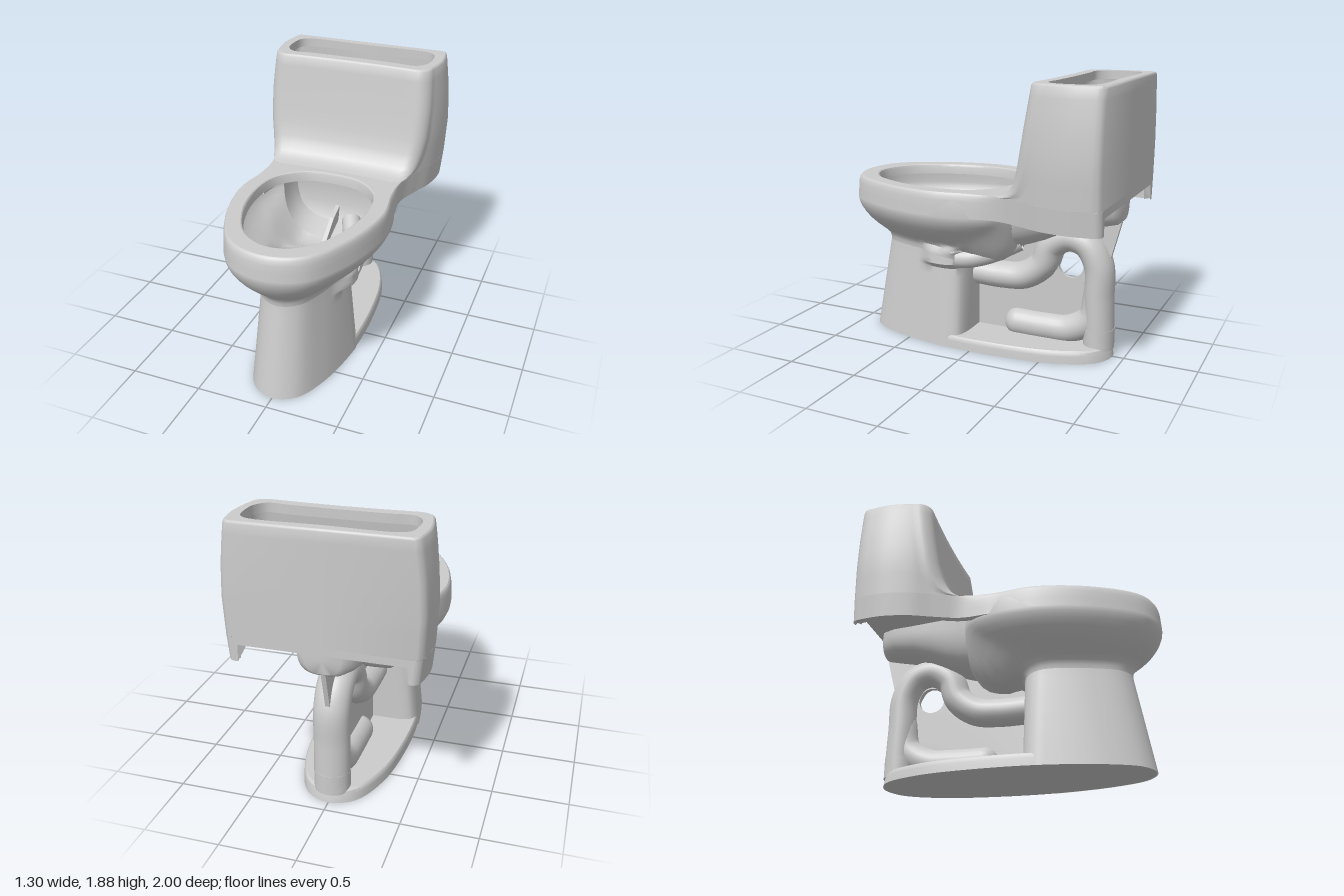
import * as THREE from 'three';
import { toCreasedNormals } from 'three/addons/utils/BufferGeometryUtils.js';

const mat = new THREE.MeshStandardMaterial({ color: 0xcccccc, side: THREE.DoubleSide });
const { lerp, smoothstep } = THREE.MathUtils;
const V = (x, y, z) => new THREE.Vector3(x, y, z);

// Piecewise linear lookup in rows of [key, value], keys ascending
function table(rows, k) {
  if (k <= rows[0][0]) return rows[0][1];
  for (let i = 1; i < rows.length; i++) {
    const [a, va] = rows[i - 1], [b, vb] = rows[i];
    if (k <= b) return lerp(va, vb, (k - a) / (b - a));
  }
  return rows[rows.length - 1][1];
}

// Half outline (front to back, as [x, z]) mirrored to a full loop
const mirror = half => [...half, ...half.slice(1, -1).reverse().map(([x, z]) => [-x, z])];

// Smooth closed loop through a mirrored half outline
function ring(half, steps = 10) {
  const pts = mirror(half);
  const curve = new THREE.CatmullRomCurve3(pts.map(([x, z]) => V(x, 0, z)), true);
  const n = pts.length * steps;
  return Array.from({ length: n }, (_, i) => { const p = curve.getPoint(i / n); return [p.x, p.z]; });
}
const at = (pts, y) => pts.map(([x, z]) => V(x, y, z));
const mix = (a, b, t) => a.map(([x, z], i) => [lerp(x, b[i][0], t), lerp(z, b[i][1], t)]);
const scaled = (pts, k, cz) => pts.map(([x, z]) => [x * k, cz + (z - cz) * k]);

// Skin over a stack of equal-length point rows
function loft(rows, closed = true, crease = 0.75) {
  const n = rows[0].length, idx = [];
  for (let r = 0; r < rows.length - 1; r++) {
    for (let i = 0; i < (closed ? n : n - 1); i++) {
      const a = r * n + i, b = r * n + (i + 1) % n;
      idx.push(a, b, b + n, a, b + n, a + n);
    }
  }
  const g = new THREE.BufferGeometry().setFromPoints(rows.flat());
  g.setIndex(idx);
  return toCreasedNormals(g, crease);
}

// Flat horizontal plate with optional hole
function plate(pts, y, hole) {
  const to2 = p => p.map(([x, z]) => new THREE.Vector2(x, -z));
  const s = new THREE.Shape(to2(pts));
  if (hole) s.holes.push(new THREE.Path(to2(hole)));
  return new THREE.ShapeGeometry(s).rotateX(-Math.PI / 2).translate(0, y, 0);
}
const tube = (pts, r) => new THREE.TubeGeometry(
  new THREE.CatmullRomCurve3(pts.map(p => V(...p))), 60, r, 24);

// Plan outline shared by the rim and the tank skirt
const outline = ring([[0, 1], [0.25, 0.92], [0.44, 0.62], [0.535, 0.22], [0.5, -0.08], [0.5, -0.27],
  [0.56, -0.45], [0.62, -0.6], [0.65, -0.78], [0.635, -0.92], [0.62, -0.975], [0.59, -0.997],
  [0.56, -0.997], [0.54, -0.997], [0.3, -0.997], [0, -0.997]]);
const sideTable = outline.slice(0, 115).filter(p => p[1] > -0.98).map(([x, z]) => [z, x]).reverse();

// The rear swells with height, the front rim rounds over at the top
function shape([x, z], y) {
  const rear = table([[0.99, 0.955], [1.15, 0.98], [1.4, 1], [1.6, 0.985], [1.75, 0.96], [1.88, 0.93]], y);
  const front = table([[0.99, 1], [1.1, 0.99], [1.13, 0.98], [1.145, 0.967], [1.15, 0.955]], y);
  const b = smoothstep(z, -0.35, -0.05);
  return [x * lerp(rear, front, b), 0.2 + (z - 0.2) * lerp(1, front, b)];
}
const slab = y => outline.map(p => shape(p, y));

// Tank section: flat back, curved sides, rounded front corners
function tankRing(y, zf, inset = 0) {
  const r = 0.1, half = [], zs = zf - r;
  const w = z => shape([table(sideTable, z), z], y)[0] - inset;
  const cx = w(zs) - r;
  for (let i = 0; i < 6; i++) half.push([cx * i / 6, zf - inset - 0.015 * (1 - (i / 6) ** 2)]);
  for (let i = 0; i <= 8; i++) {
    const a = Math.PI / 2 * (1 - i / 8);
    half.push([cx + r * Math.cos(a), zs + (r - inset) * Math.sin(a)]);
  }
  for (let i = 1; i <= 14; i++) { const z = lerp(zs, -0.975, i / 14); half.push([w(z), z]); }
  half.push([w(-0.975) - 0.028, -0.997 + inset], [0, -0.997 + inset]);
  return mirror(half);
}

// Jet passage swelling on the left wall, just under the bowl
function swell(v) {
  const k = smoothstep(v.y, 0.555, 0.6) * (1 - smoothstep(v.y, 0.68, 0.74))
    * smoothstep(v.z, 0.07, 0.13) * (1 - smoothstep(v.z, 0.28, 0.44));
  if (v.x > 0) v.x += 0.062 * k * smoothstep(v.x, 0.1, 0.25);
  return v;
}

export function createModel() {
  const model = new THREE.Group();
  const add = (name, geo, parent = model) => {
    const m = new THREE.Mesh(geo, mat);
    m.name = name;
    parent.add(m);
    return m;
  };

  // Rim and skirt; the back edge is notched upward between the corners
  const notch = v => { if (v.z < -0.9 && Math.abs(v.x) < 0.53) v.y = Math.max(v.y, 1.1); return v; };
  add('rimSide', loft([0.99, 1.05, 1.1, 1.13, 1.145, 1.15].map(y => at(slab(y), y).map(notch))));
  const inset = slab(0.99).map(([x, z]) => [x - Math.sign(x) * Math.min(0.05, Math.abs(x)), Math.max(z, -0.95)]);
  const rearOnly = pts => pts.filter((_, i) => outline[i][1] < 0);
  add('skirtInside', loft([rearOnly(at(inset, 1.1)), rearOnly(at(inset, 0.99)).map(notch),
    rearOnly(at(slab(0.99), 0.99)).map(notch)], false));

  // Seat deck with oval opening and inner lip
  const opening = ring([[0, 0.85], [0.2, 0.765], [0.34, 0.53], [0.4, 0.22], [0.36, -0.02], [0.2, -0.17], [0, -0.2]]);
  const lip = (k, y) => at(scaled(opening, k, 0.3), y);
  add('seatDeck', plate(slab(1.15).filter(p => p[1] > -0.5), 1.15, scaled(opening, 1.03, 0.3)));
  add('rimLip', loft([lip(1.03, 1.15), lip(1.01, 1.145), lip(1, 1.13), lip(0.99, 1.08)]));

  // Tank, flaring into the deck at its foot
  const tankFront = [[1.15, -0.24], [1.157, -0.28], [1.17, -0.315], [1.2, -0.355], [1.25, -0.387], [1.3, -0.408],
    [1.4, -0.432], [1.5, -0.45], [1.6, -0.467], [1.7, -0.483], [1.8, -0.498], [1.865, -0.508]];
  const top = tankRing(1.88, -0.51, 0.012);
  add('tank', loft([...tankFront.map(([y, z]) => at(tankRing(y, z), y)),
    at(tankRing(1.875, -0.51, 0.004), 1.875), at(top, 1.88)]));
  const mouth = ring([[0, -0.61], [0.3, -0.605], [0.46, -0.6], [0.52, -0.67], [0.53, -0.78], [0.51, -0.88],
    [0.45, -0.92], [0, -0.92]], 6);
  add('tankTop', plate(top, 1.88, mouth));
  add('tankMouth', loft([at(mouth, 1.88), at(mouth, 1.82)]));
  const slot = ring([[0, -0.6], [0.16, -0.6], [0.18, -0.62], [0.18, -0.82], [0.14, -0.91], [0, -0.93]], 5);
  add('tankFloor', plate(inset.filter(p => p[1] < -0.22), 1.1, slot));

  // Bowl shell narrowing to the neck; its rear hangs lower along the middle
  const bowlTop = ring([[0, 1], [0.25, 0.92], [0.44, 0.62], [0.535, 0.22], [0.5, -0.08], [0.38, -0.27], [0, -0.33]]);
  const neck = ring([[0, 0.785], [0.13, 0.72], [0.22, 0.52], [0.272, 0.28], [0.272, 0.18], [0.235, 0.11], [0, 0.07]]);
  const column = ring([[0, 0.905], [0.15, 0.84], [0.26, 0.62], [0.33, 0.28], [0.335, 0.17], [0.295, 0.1], [0, 0.08]]);
  const bowlRows = [[0.66, 0, 0.1], [0.69, 0.015, 0.11], [0.72, 0.07, 0.12], [0.75, 0.21, 0.14], [0.77, 0.32, 0.16],
    [0.8, 0.48, 0.18], [0.84, 0.66, 0.2], [0.88, 0.8, 0.2], [0.92, 0.91, 0.18], [0.96, 0.98, 0.1], [0.99, 1, 0]];
  const sag = v => (1 - smoothstep(v.z, -0.1, 0.3)) * (1 - smoothstep(Math.abs(v.x), 0.2, 0.42));
  const bowl = bowlRows.map(([y, t, drop]) => at(mix(neck, bowlTop, t), y)
    .map(v => swell(V(v.x, v.y - drop * sag(v), v.z))));
  bowl.push(at(scaled(bowlTop, 0.97, 0.2), 1.1));
  add('bowl', loft(bowl));

  // Pedestal column and oval foot
  add('pedestal', loft([0, 0.2, 0.35, 0.5, 0.555, 0.57, 0.585, 0.6, 0.635, 0.67]
    .map(y => at(mix(column, neck, Math.min(1, y / 0.66)), y).map(swell))));
  const foot = ring([[0, 0.9], [0.15, 0.83], [0.255, 0.61], [0.33, 0.22], [0.335, -0.2], [0.28, -0.6],
    [0.16, -0.85], [0, -0.92]]);
  add('foot', loft([[1, 0], [0.99, 0.05], [0.98, 0.075], [0.955, 0.085]].map(([k, y]) => at(scaled(foot, k, 0), y))));
  add('footTop', plate(scaled(foot, 0.955, 0), 0.085));
  add('footBottom', plate(foot, 0));

  // Channel under the tank: U sections sloping up toward the back
  const sections = [[-0.12, 0.34, 0.67], [-0.25, 0.33, 0.72], [-0.34, 0.3, 0.745], [-0.45, 0.27, 0.785],
    [-0.58, 0.25, 0.845], [-0.7, 0.23, 0.89], [-0.85, 0.21, 0.92], [-0.94, 0.17, 0.94], [-0.965, 0.12, 0.96], [-0.975, 0, 1.05]];
  add('channel', loft(sections.map(([z, w, yb]) => Array.from({ length: 25 }, (_, i) => {
    const a = Math.PI * i / 24, c = Math.cos(a);
    return V(w * Math.sign(c) * Math.abs(c) ** 0.7, 1.1 - (1.1 - yb) * Math.sin(a) ** 0.7, z);
  })), false));

  // Trapway: siphon tube, floor outlet and socket
  const trap = new THREE.Group();
  trap.name = 'trapway';
  model.add(trap);
  add('siphonTube', tube([[0, 0.485, 0.09], [0, 0.48, -0.12], [0, 0.5, -0.28], [0, 0.6, -0.415], [0, 0.74, -0.475],
    [0, 0.81, -0.6], [0, 0.775, -0.725], [0, 0.64, -0.805], [0, 0.4, -0.815], [0, 0.08, -0.825]], 0.1).scale(1.2, 1, 1), trap);
  add('outletTube', tube([[0, 0.45, -0.81], [0, 0.26, -0.77], [0, 0.16, -0.62], [0, 0.145, -0.45], [0, 0.145, -0.23]], 0.1), trap);
  add('outletEnd', new THREE.SphereGeometry(0.1, 24, 16).translate(0, 0.145, -0.23), trap);
  add('outletSocket', new THREE.CylinderGeometry(0.105, 0.105, 0.14, 24).scale(1.15, 1, 1).translate(0, 0.13, -0.82), trap);

  // Thin central web with a round hole
  const web = new THREE.Shape([[0.08, 0.07], [-0.88, 0.07], [-0.9, 0.4], [-0.885, 0.68], [-0.955, 0.95],
    [-0.6, 0.95], [-0.2, 0.8], [0.08, 0.6]].map(p => new THREE.Vector2(...p)));
  web.holes.push(new THREE.Path().absarc(-0.612, 0.613, 0.09, 0, Math.PI * 2, true));
  add('web', new THREE.ExtrudeGeometry(web, { depth: 0.03, bevelEnabled: false, curveSegments: 32 })
    .translate(0, 0, -0.015).rotateY(-Math.PI / 2), trap);

  // Rear run of the jet passage, on the left side only
  add('jetPassage', tube([[0.262, 0.635, 0.12], [0.25, 0.645, 0.03], [0.2, 0.68, -0.1], [0.12, 0.77, -0.28]], 0.068));

  return model;
}
